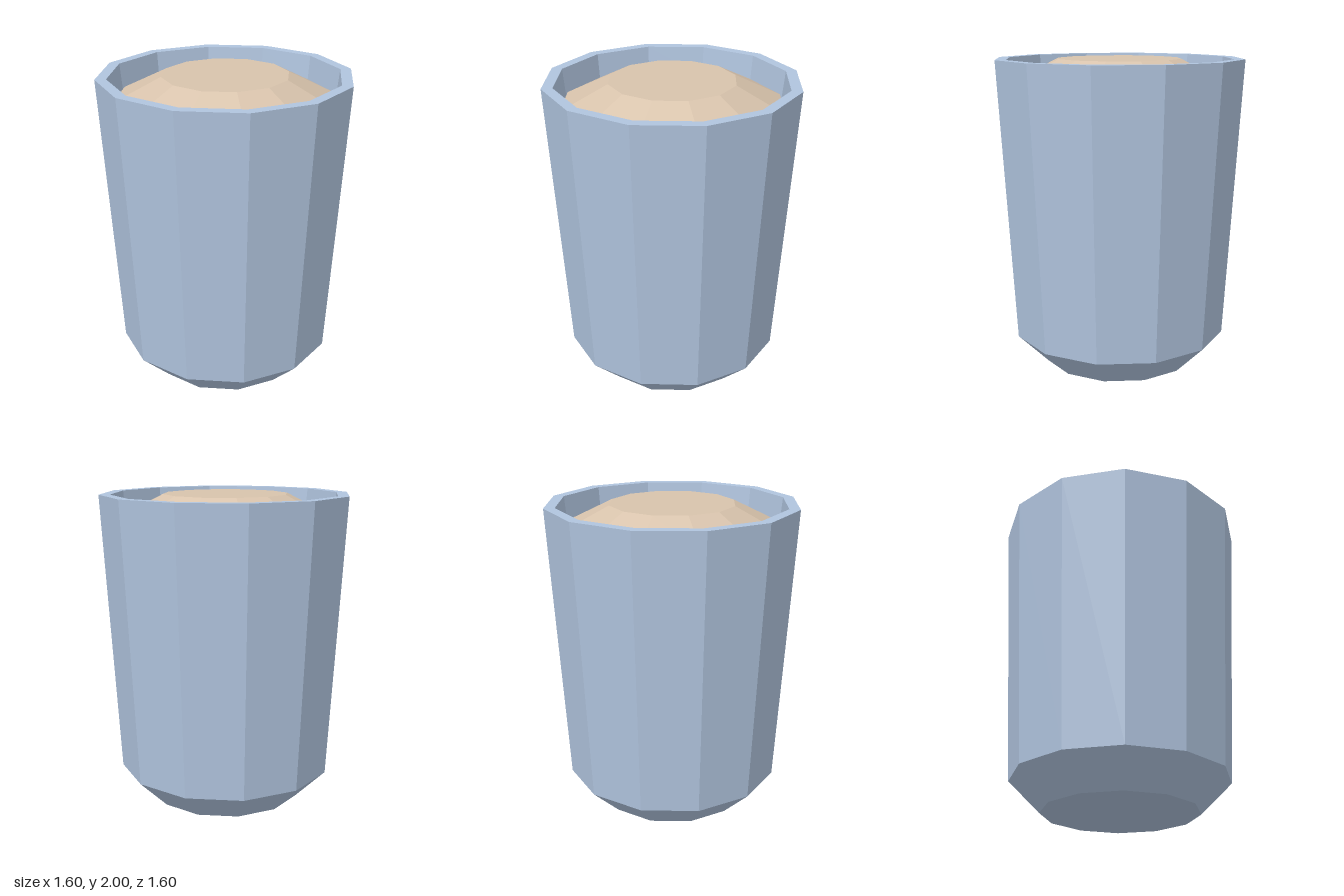
import * as THREE from 'three';

const SIDES = 12;

// Faceted solid of revolution from [radius, height] pairs
function lathe(name, profile, material) {
  const points = profile.map(([r, y]) => new THREE.Vector2(r, y));
  const mesh = new THREE.Mesh(new THREE.LatheGeometry(points, SIDES), material);
  mesh.name = name;
  return mesh;
}

export function createModel() {
  const paleBlue = new THREE.MeshStandardMaterial({ color: 0xb0c4de, flatShading: true });
  paleBlue.name = 'pale blue';
  const beige = new THREE.MeshStandardMaterial({ color: 0xd8c3ac, flatShading: true });
  beige.name = 'beige';

  const group = new THREE.Group();
  group.name = 'filledCup';

  // Cup: base, chamfer, tapered wall, rim and inner wall
  group.add(lathe('cup', [
    [0, 0], [0.5, 0], [0.7, 0.2], [0.8, 2], [0.73, 2], [0.71, 1.8],
  ], paleBlue));

  // Filling: short steep edge and a domed, flat-topped surface
  group.add(lathe('filling', [
    [0.71, 1.8], [0.7, 1.85], [0.4, 2], [0, 2],
  ], beige));

  return group;
}
